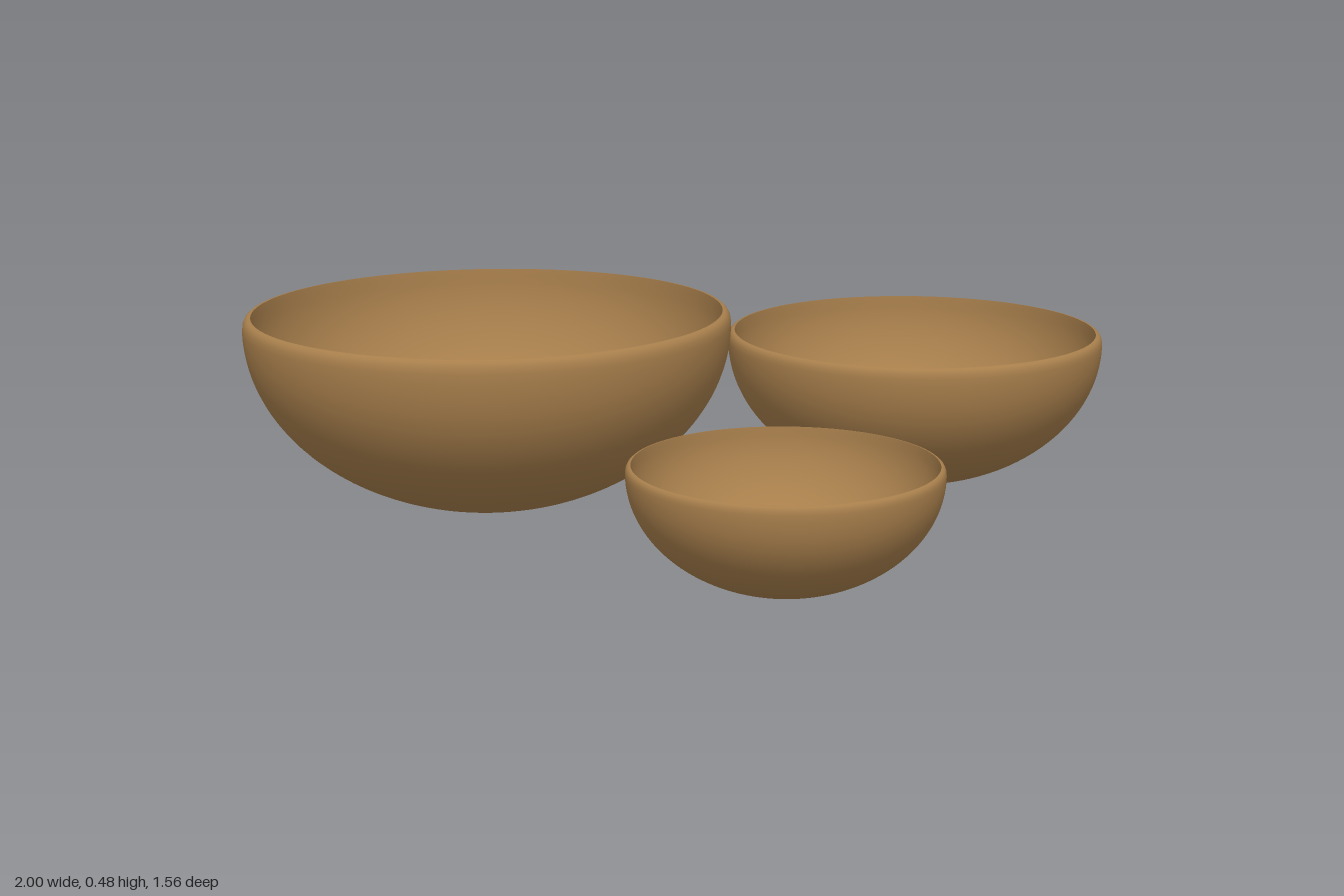
import * as THREE from 'three';

// Quarter ellipse in the lathe plane, from the bottom centre up to the widest point.
function quarterArc(radius, bottom, top, steps) {
  const points = [];
  for (let i = 0; i <= steps; i++) {
    const a = (i / steps) * Math.PI / 2;
    points.push(new THREE.Vector2(radius * Math.sin(a), top - (top - bottom) * Math.cos(a)));
  }
  return points;
}

// Profiles for a bowl of outer radius 1.
const outerProfile = [
  ...quarterArc(1, 0, 0.765, 32),
  // rounded lip
  ...[[0.997, 0.79], [0.989, 0.807], [0.978, 0.816], [0.965, 0.818]].map(p => new THREE.Vector2(...p)),
];
const innerProfile = [new THREE.Vector2(0.965, 0.818), ...quarterArc(0.963, 0.04, 0.79, 32).reverse()];

export function createModel() {
  const group = new THREE.Group();
  group.name = 'nestingBowls';
  const wood = new THREE.MeshStandardMaterial({ color: 0xa87f4c });

  const shell = new THREE.LatheGeometry(outerProfile, 96);
  const hollow = new THREE.LatheGeometry(innerProfile, 96);

  function addBowl(name, radius, x, y, z) {
    const bowl = new THREE.Group();
    bowl.name = name;
    const outside = new THREE.Mesh(shell, wood);
    outside.name = 'outerShellAndRim';
    const inside = new THREE.Mesh(hollow, wood);
    inside.name = 'innerSurface';
    bowl.add(outside, inside);
    bowl.scale.setScalar(radius);
    bowl.position.set(x, y, z);
    group.add(bowl);
  }

  addBowl('largeBowl', 0.545, -0.455, 0.03, -0.235);
  addBowl('mediumBowl', 0.44, 0.56, 0.016, -0.3);
  addBowl('smallBowl', 0.327, 0.067, 0, 0.452);

  return group;
}
